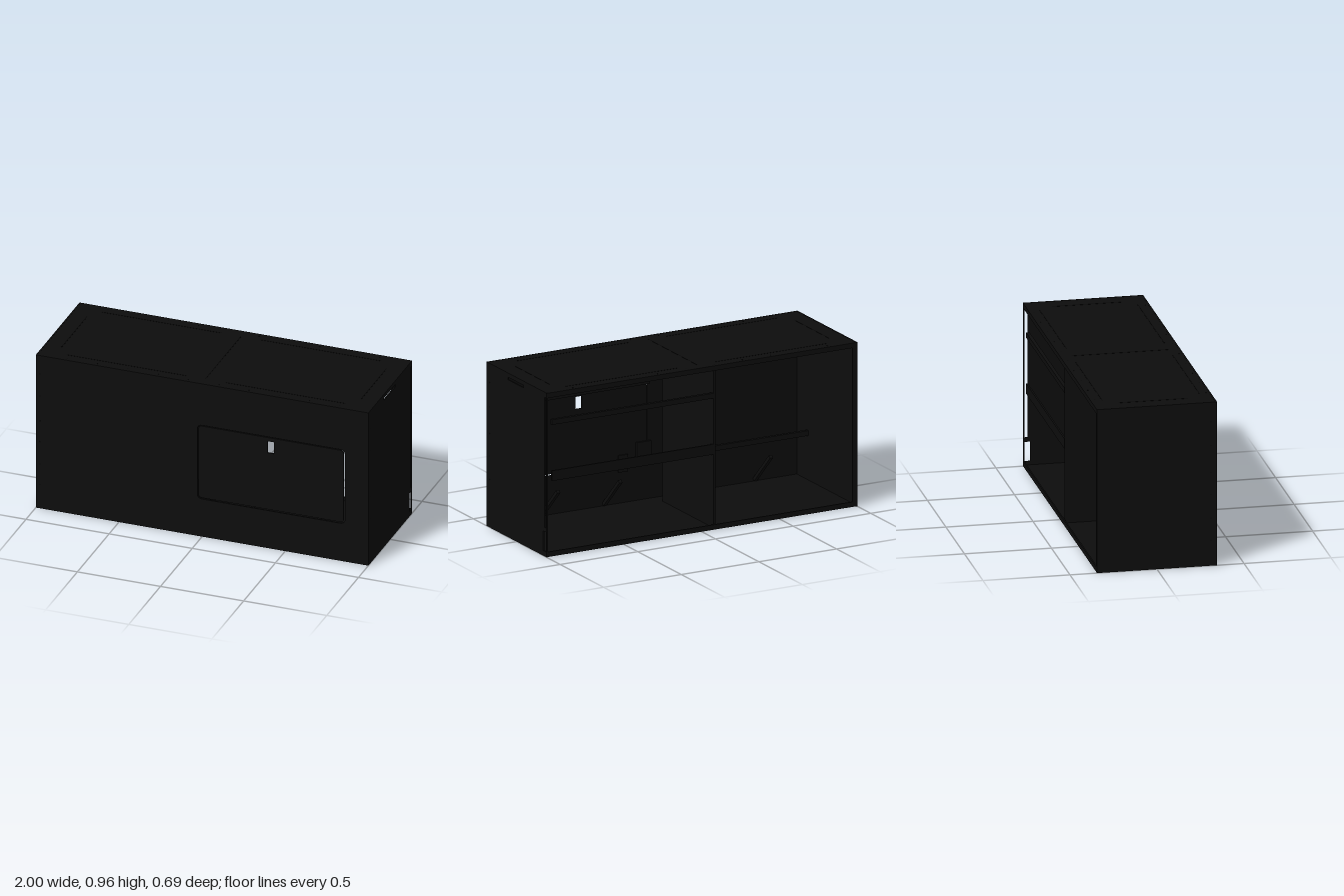
import * as THREE from 'three';

const W = 1, H = 0.965, D = 0.345, T = 0.008; // half width, height, half depth, sheet thickness

export function createModel() {
  const group = new THREE.Group();
  const black = new THREE.MeshStandardMaterial({ color: 0x0d0d0d });
  black.name = 'black sheet metal';
  const seam = new THREE.MeshStandardMaterial({ color: 0x060606 });
  seam.name = 'dark seam';

  const add = (name, geo, mat = black) => {
    const m = new THREE.Mesh(geo, mat);
    m.name = name;
    group.add(m);
    return m;
  };
  // box given by its extents
  const box = (name, x0, x1, y0, y1, z0, z1, mat) => {
    const m = add(name, new THREE.BoxGeometry(x1 - x0, y1 - y0, z1 - z0), mat);
    m.position.set((x0 + x1) / 2, (y0 + y1) / 2, (z0 + z1) / 2);
    return m;
  };
  const trace = (p, x0, y0, x1, y1, r = 0) => {
    p.moveTo(x0 + r, y0);
    p.lineTo(x1 - r, y0);
    if (r) p.quadraticCurveTo(x1, y0, x1, y0 + r);
    p.lineTo(x1, y1 - r);
    if (r) p.quadraticCurveTo(x1, y1, x1 - r, y1);
    p.lineTo(x0 + r, y1);
    if (r) p.quadraticCurveTo(x0, y1, x0, y1 - r);
    p.lineTo(x0, y0 + r);
    if (r) p.quadraticCurveTo(x0, y0, x0 + r, y0);
    return p;
  };
  // flat sheet with rectangular cut-outs
  const sheet = (rect, holes) => {
    const s = trace(new THREE.Shape(), ...rect);
    holes.forEach((h) => s.holes.push(trace(new THREE.Path(), ...h)));
    return new THREE.ExtrudeGeometry(s, { depth: T, bevelEnabled: false, curveSegments: 6 });
  };

  // front panel and its hatch with a finger slot
  add('frontPanel', sheet([-W, 0, W, H], [[-0.029, 0.237, 0.859, 0.703, 0.03]])).position.z = D - T;
  add('hatch', sheet([-0.023, 0.245, 0.852, 0.698, 0.025], [[0.392, 0.602, 0.432, 0.675]])).position.z = D - T;

  // end, top and bottom panels
  box('rightEndPanel', -W, -W + T, 0, H, -D, D - T);
  const end = add('leftEndPanel', sheet([-D + T, 0, D, H], [
    [0.32, 0.17, 0.338, 0.935], [0.305, 0.03, 0.338, 0.145], [-0.1, 0.925, 0.08, 0.94],
  ]));
  end.rotation.y = Math.PI / 2;
  end.position.x = W - T;
  box('topPanel', -W + T, W - T, H - T, H - 0.001, -D, D - T);
  box('bottomPanel', -W + T, W - T, 0.001, T, -D, D - T);

  // open back: rim flanges, divider and cross rails
  box('backTopFlange', -W, W, H - 0.03, H - T, -D, -D + T);
  box('backBottomFlange', -W, W, T, 0.03, -D, -D + T);
  box('backSideFlange', -W + T, -W + 0.03, 0.03, H - 0.03, -D, -D + T);
  box('divider', -0.09, -0.08, T, H - T, -D + T, 0.25);
  box('middleRail', -0.08, W - 0.04, 0.44, 0.5, -D + 0.01, -D + 0.02);
  box('upperRail', -0.08, W - 0.04, 0.77, 0.8, -D + 0.01, -D + 0.03);
  box('lowerRail', -W + T, -0.09, 0.27, 0.3, 0.2, 0.22);

  // hatch stop, latch bracket and hinges inside the front
  box('hatchStop', -0.04, 0.835, 0.685, 0.72, D - 0.02, D - T);
  box('hatchBracket', -0.05, 0.045, 0.22, 0.35, D - 0.02, D - T);
  for (const x of [0.13, 0.74]) {
    box('hingeLeaf', x - 0.03, x + 0.03, 0.19, 0.234, D - 0.016, D - T);
    box('hingeLeaf', x - 0.03, x + 0.03, 0.248, 0.29, D - 0.016, D - T);
  }

  // diagonal braces against the front wall
  for (const x of [-0.72, -0.35, 0.25, 0.65]) {
    const b = add('diagonalBrace', new THREE.BoxGeometry(0.02, 0.02, 0.26));
    b.position.set(x, 0.11, 0.24);
    b.rotation.x = Math.PI / 4;
  }

  // seams on the lid and strips underneath
  for (const [name, y, mat] of [['lidSeam', H - 0.001, seam], ['baseStrip', 0, black]]) {
    box(name, -0.008, -0.002, y, y + 0.001, -0.28, 0.28, mat);
    for (const z of [-0.28, 0.28]) {
      for (const s of [-1, 1]) box(name, s * 0.48 - 0.36, s * 0.48 + 0.36, y, y + 0.001, z - 0.003, z + 0.003, mat);
    }
    for (const x of [-0.9, 0.9]) box(name, x - 0.003, x + 0.003, y, y + 0.001, -0.2, 0.2, mat);
  }

  // rivets along the edges
  const rivet = new THREE.CylinderGeometry(0.004, 0.004, 0.002, 8);
  for (const y of [0.15, 0.28, 0.42, 0.55, 0.71, 0.85]) {
    const f = add('rivet', rivet, seam);
    f.rotation.x = Math.PI / 2;
    f.position.set(-0.975, y, D - 0.0005);
    for (const s of [-1, 1]) {
      const r = add('rivet', rivet, seam);
      r.rotation.z = Math.PI / 2;
      r.position.set(s * (W - 0.0005), y, 0.31);
    }
  }
  for (let i = 0; i < 10; i++) {
    for (const z of [-0.32, 0.32]) add('rivet', rivet, seam).position.set(-0.82 + i * 0.182, H - 0.001, z);
  }
  return group;
}
